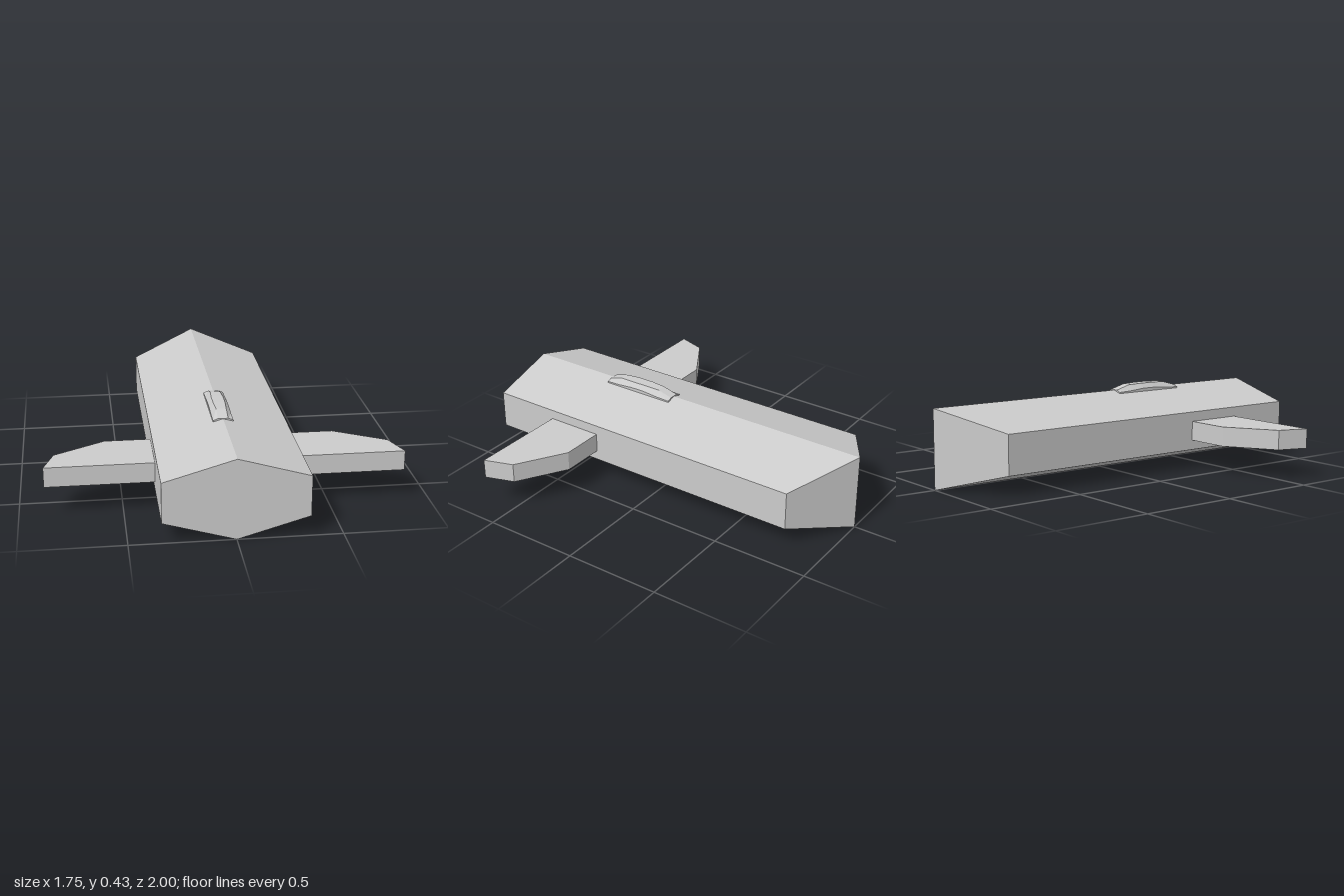
import * as THREE from 'three';

const material = new THREE.MeshStandardMaterial({ color: 0xcccccc, flatShading: true });

// Skin a row of equal-length rings (front to back, counterclockwise seen from +z) and close both ends.
function loft(name, rings) {
  const positions = [];
  const tri = (...corners) => corners.forEach((p) => positions.push(...p));
  const n = rings[0].length;
  for (let s = 0; s < rings.length - 1; s++) {
    for (let i = 0; i < n; i++) {
      const j = (i + 1) % n;
      const [a, b, c, d] = [rings[s][i], rings[s][j], rings[s + 1][i], rings[s + 1][j]];
      tri(a, c, b);
      tri(b, c, d);
    }
  }
  const back = rings[rings.length - 1];
  for (let i = 1; i < n - 1; i++) {
    tri(rings[0][0], rings[0][i], rings[0][i + 1]);
    tri(back[0], back[i + 1], back[i]);
  }
  const geometry = new THREE.BufferGeometry();
  geometry.setAttribute('position', new THREE.Float32BufferAttribute(positions, 3));
  geometry.computeVertexNormals();
  const mesh = new THREE.Mesh(geometry, material);
  mesh.name = name;
  return mesh;
}

// Flat slab wing, drawn in plan and extruded upwards.
function makeWing(side) {
  const outline = [[0.3, 0.35], [0.575, 0.35], [0.825, 0.5], [0.875, 0.65], [0.3, 0.65]];
  const shape = new THREE.Shape(outline.map(([x, z]) => new THREE.Vector2(side * x, -z)));
  const geometry = new THREE.ExtrudeGeometry(shape, { depth: 0.1, bevelEnabled: false });
  geometry.rotateX(-Math.PI / 2).translate(0, 0.15, 0);
  const wing = new THREE.Mesh(geometry, material);
  wing.name = side > 0 ? 'leftWing' : 'rightWing';
  return wing;
}

export function createModel() {
  const model = new THREE.Group();
  model.name = 'aircraft';

  // Hexagonal hull: flat at the front, wedge with a vertical edge at the back
  const hex = [[0, 0.4], [-0.346, 0.3], [-0.346, 0.1], [0, 0], [0.346, 0.1], [0.346, 0.3]];
  model.add(loft('hull', [
    hex.map(([x, y]) => [x, y, 1]),
    hex.map(([x, y]) => [x, y, x === 0 ? -1 : -0.8]),
  ]));

  // Low faceted canopy on the ridge: [z, top height, shoulder height, half width of the top]
  const stations = [
    [0.5, 0.402, 0.392, 0.025], [0.42, 0.424, 0.395, 0.025], [0.34, 0.427, 0.402, 0.03],
    [0.26, 0.427, 0.402, 0.03], [0.18, 0.424, 0.395, 0.025], [0.1, 0.402, 0.392, 0.025],
  ];
  model.add(loft('canopy', stations.map(([z, top, shoulder, w]) => [
    [0, top, z], [-w, top, z], [-0.05, shoulder, z], [-0.05, 0.385, z],
    [0.05, 0.385, z], [0.05, shoulder, z], [w, top, z],
  ])));

  // Wings
  for (const side of [1, -1]) model.add(makeWing(side));
  return model;
}
